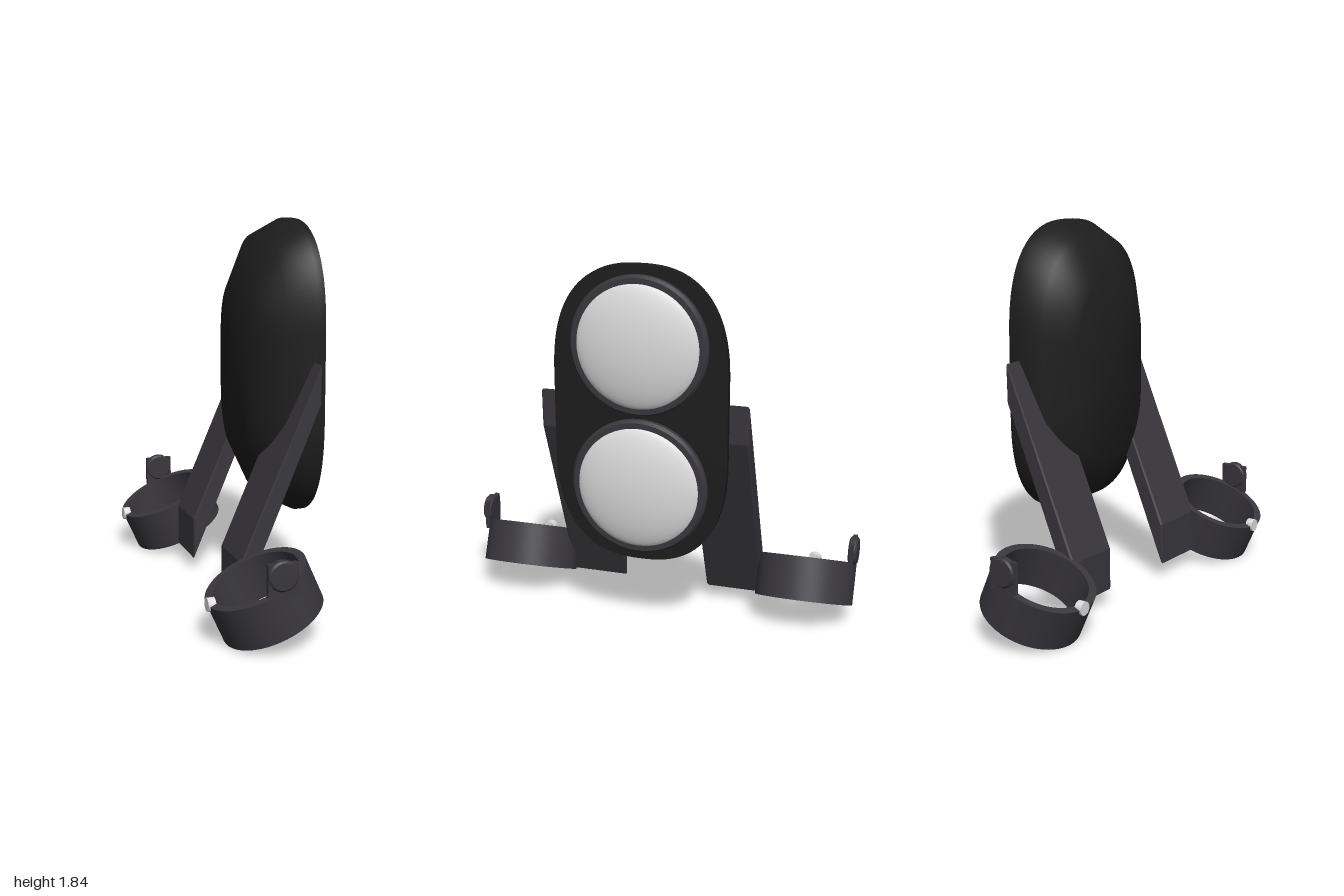
import * as THREE from 'three';
import { toCreasedNormals } from 'three/addons/utils/BufferGeometryUtils.js';

const material = (name, color) => {
  const m = new THREE.MeshStandardMaterial({ color });
  m.name = name;
  return m;
};

function add(parent, name, geometry, mat, x = 0, y = 0, z = 0) {
  const mesh = new THREE.Mesh(geometry, mat);
  mesh.name = name;
  mesh.position.set(x, y, z);
  parent.add(mesh);
  return mesh;
}

const lathe = (pts, crease = 0.6) =>
  toCreasedNormals(new THREE.LatheGeometry(pts.map(p => new THREE.Vector2(p[0], p[1])), 64), crease);

// Rounded oblong shell: scaled copies of one outline stacked along x, closed at both ends
function shellGeometry() {
  const n = 96, sections = [[0.01, 0], [0.01, 0.6], [0.12, 0.9], [0.265, 1], [0.3, 1], [0.3, 0]];
  const last = sections.length - 2;
  const pos = [], index = [];
  const power = v => Math.sign(v) * Math.pow(Math.abs(v), 2 / 2.5);
  for (const [x, s] of sections) {
    for (let i = 0; i < n; i++) {
      const a = ((i + 0.5) / n) * Math.PI * 2;
      const y = power(Math.sin(a)) * 0.545 + Math.sign(Math.sin(a)) * 0.18;
      pos.push(x, 1.12 + y * s, power(Math.cos(a)) * 0.425 * s);
    }
  }
  for (let k = 0; k <= last; k++) {
    for (let i = 0; i < n; i++) {
      const a = k * n + i, b = k * n + ((i + 1) % n), c = a + n, d = b + n;
      if (k > 0) index.push(a, c, b);
      if (k < last) index.push(b, c, d);
    }
  }
  const g = new THREE.BufferGeometry();
  g.setAttribute('position', new THREE.Float32BufferAttribute(pos, 3));
  g.setIndex(index);
  return toCreasedNormals(g, 1.0);
}

export function createModel() {
  const model = new THREE.Group();
  model.name = 'twinHeadlight';
  const shellMat = material('black shell', 0x1d1d1d);
  const metalMat = material('dark metal', 0x39373d);
  const lensMat = material('pale lens', 0xdcdcdc);

  add(model, 'housing', shellGeometry(), shellMat);

  // Two lamps facing +x
  const bezel = lathe([[0.335, 0.29], [0.335, 0.322], [0.323, 0.337], [0.29, 0.337]]);
  const dome = [];
  for (let i = 0; i <= 16; i++) {
    const t = Math.cos((i / 16) * Math.PI / 2);
    dome.push([0.298 * t, 0.335 + 0.06 * Math.pow(1 - t * t, 0.7)]);
  }
  dome[16][0] = 0;
  const lens = lathe(dome, 1.2);
  for (const [label, y] of [['upper', 1.465], ['lower', 0.775]]) {
    add(model, label + 'Bezel', bezel, metalMat, 0, y).rotation.z = -Math.PI / 2;
    add(model, label + 'Lens', lens, lensMat, 0, y).rotation.z = -Math.PI / 2;
  }

  // Slanted bracket plate with slightly softened ends
  const plate = new THREE.Shape([[0.245, 1.2], [-0.15, 0.29], [-0.15, 0.08], [0.245, 1.01]]
    .map(p => new THREE.Vector2(p[0], p[1])));
  const bracket = new THREE.ExtrudeGeometry(plate, {
    depth: 0.279, bevelSize: 0.008, bevelThickness: 0.008, bevelOffset: -0.008, bevelSegments: 1,
  });
  bracket.translate(0, 0, -0.1395);

  const clampRing = lathe([[0.21, -0.106], [0.246, -0.106], [0.246, 0.106], [0.21, 0.106], [0.21, -0.106]]);
  const knob = lathe([[0, -0.021], [0.062, -0.021], [0.07, -0.013], [0.07, 0.013], [0.062, 0.021], [0, 0.021]]);
  knob.rotateX(Math.PI / 2);
  const tab = new THREE.BoxGeometry(0.14, 0.15, 0.022);
  const screw = new THREE.CylinderGeometry(0.032, 0.032, 0.036, 24).rotateZ(Math.PI / 2);

  // Mirrored mounting arms
  for (const [label, s] of [['left', 1], ['right', -1]]) {
    const arm = new THREE.Group();
    arm.name = label + 'Mount';
    model.add(arm);
    add(arm, 'bracket', bracket, metalMat, 0, 0, s * 0.3675);
    add(arm, 'clampRing', clampRing, metalMat, -0.123, 0.2, s * 0.742).rotation.z = 0.419;
    add(arm, 'knobTab', tab, metalMat, -0.125, 0.365, s * 0.974);
    add(arm, 'knob', knob, metalMat, -0.125, 0.383, s * 0.978);
    add(arm, 'clampScrew', screw, lensMat, -0.377, 0.2, s * 0.742);
  }
  return model;
}
